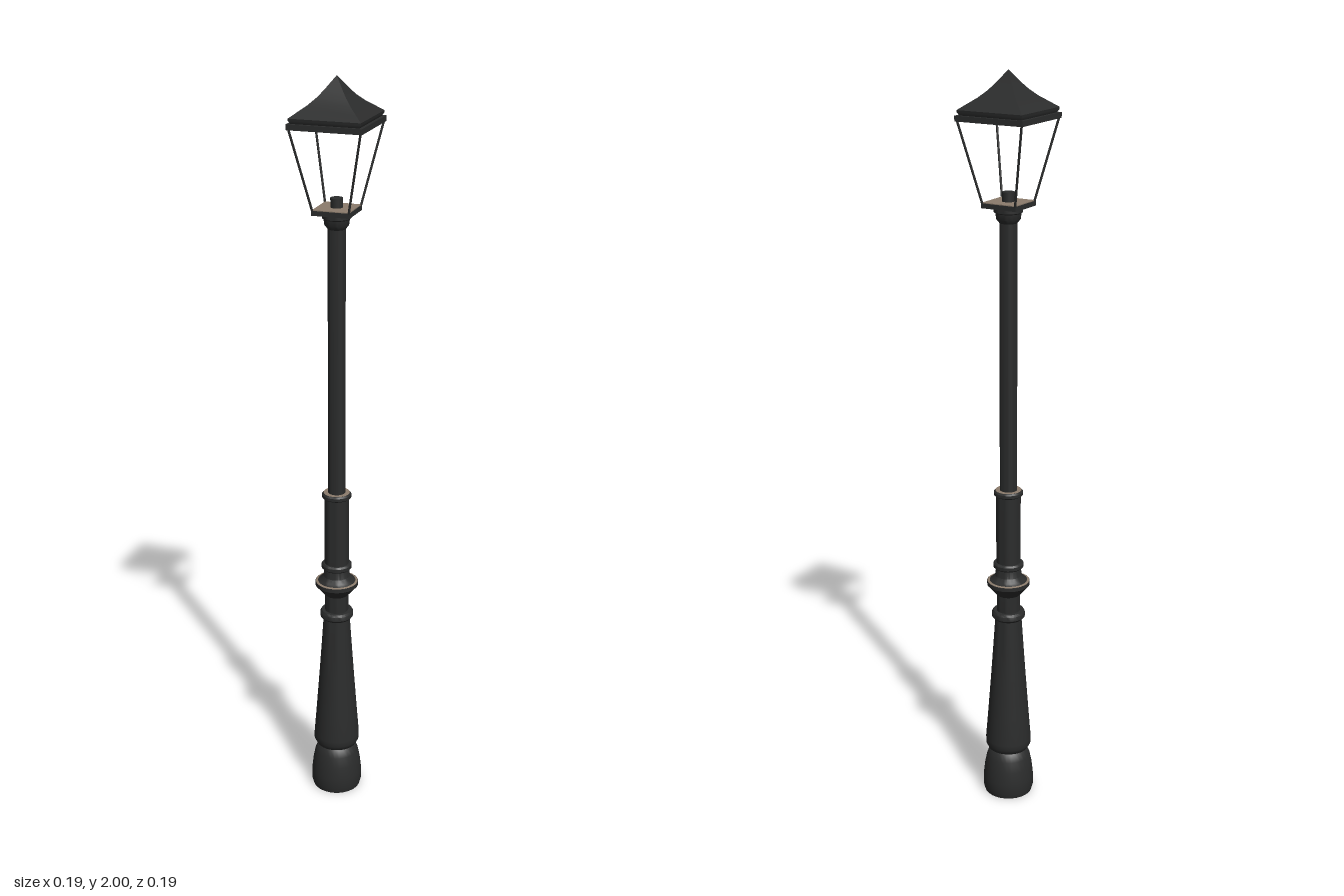
import * as THREE from 'three';
import { toCreasedNormals } from 'three/addons/utils/BufferGeometryUtils.js';

export function createModel() {
  const lamp = new THREE.Group();
  lamp.name = 'streetLamp';
  const iron = new THREE.MeshStandardMaterial({ color: 0x2b2c2c });
  iron.name = 'dark iron';
  const bare = new THREE.MeshStandardMaterial({ color: 0x8c7c6c });
  bare.name = 'tan metal';

  const add = (name, geometry, material = iron) => {
    const mesh = new THREE.Mesh(geometry, material);
    mesh.name = name;
    lamp.add(mesh);
    return mesh;
  };
  // Turned part from [radius, height] pairs, bottom to top
  const turn = (name, profile, sides = 28, start = 0, material = iron) => {
    const points = profile.map(([r, y]) => new THREE.Vector2(r, y));
    const lathe = new THREE.LatheGeometry(points, sides, start);
    return add(name, toCreasedNormals(lathe, 0.6), material);
  };

  // Post, from the foot upwards
  turn('foot', [[0, 0], [0.066, 0], [0.07, 0.015], [0.07, 0.045], [0.066, 0.08],
    [0.06, 0.11], [0.052, 0.13], [0.046, 0.135]]);
  turn('taperedBase', [[0.046, 0.13], [0.056, 0.136], [0.063, 0.15], [0.063, 0.165],
    [0.057, 0.24], [0.048, 0.36], [0.041, 0.46], [0.036, 0.535]]);
  turn('neck', [[0.032, 0.53], [0.032, 0.605], [0.045, 0.62], [0.058, 0.635],
    [0.058, 0.645], [0.052, 0.646], [0.044, 0.652], [0.036, 0.662], [0.033, 0.69]]);
  turn('sleeve', [[0.033, 0.68], [0.033, 0.895]]);
  turn('pole', [[0.023, 0.88], [0.023, 1.65]]);

  // Rounded bands around the post
  for (const [name, radius, y, half] of [
    ['lowerBand', 0.045, 0.546, 0.012],
    ['middleBand', 0.041, 0.692, 0.009],
    ['upperBand', 0.039, 0.9, 0.008],
  ]) {
    turn(name, [[0.022, y - half], [radius - 0.005, y - half], [radius, y - half / 2],
      [radius, y + half / 2], [radius - 0.004, y + half], [0.022, y + half]]);
  }
  // Bare metal on the upward ledges
  turn('bulgeLedge', [[0.057, 0.6458], [0.051, 0.6475]], 28, 0, bare);
  turn('sleeveLedge', [[0.035, 0.9085], [0.022, 0.9085]], 28, 0, bare);

  // Collar carrying the lantern
  turn('collar', [[0.023, 1.625], [0.031, 1.635], [0.033, 1.65], [0.037, 1.653],
    [0.037, 1.664], [0.043, 1.668]]);
  add('lanternFloor', new THREE.BoxGeometry(0.1, 0.012, 0.1)).position.y = 1.671;
  add('floorTop', new THREE.BoxGeometry(0.096, 0.002, 0.096), bare).position.y = 1.678;
  add('burner', new THREE.CylinderGeometry(0.016, 0.016, 0.026, 20)).position.y = 1.69;

  // Four leaning corner rods
  for (const sx of [-1, 1]) for (const sz of [-1, 1]) {
    const path = new THREE.LineCurve3(
      new THREE.Vector3(sx * 0.047, 1.674, sz * 0.047),
      new THREE.Vector3(sx * 0.092, 1.885, sz * 0.092));
    add('cornerRod', new THREE.TubeGeometry(path, 1, 0.003, 6));
  }

  // Square rim and swept pyramid roof
  add('roofRim', new THREE.BoxGeometry(0.192, 0.014, 0.192)).position.y = 1.887;
  const roof = [[0, 1.892], [0.086, 1.892], [0.092, 1.902], [0.092, 1.907], [0.075, 1.92],
    [0.055, 1.935], [0.037, 1.952], [0.023, 1.969], [0.012, 1.984], [0, 2]];
  turn('roof', roof.map(([half, y]) => [half * Math.SQRT2, y]), 4, Math.PI / 4);

  return lamp;
}
